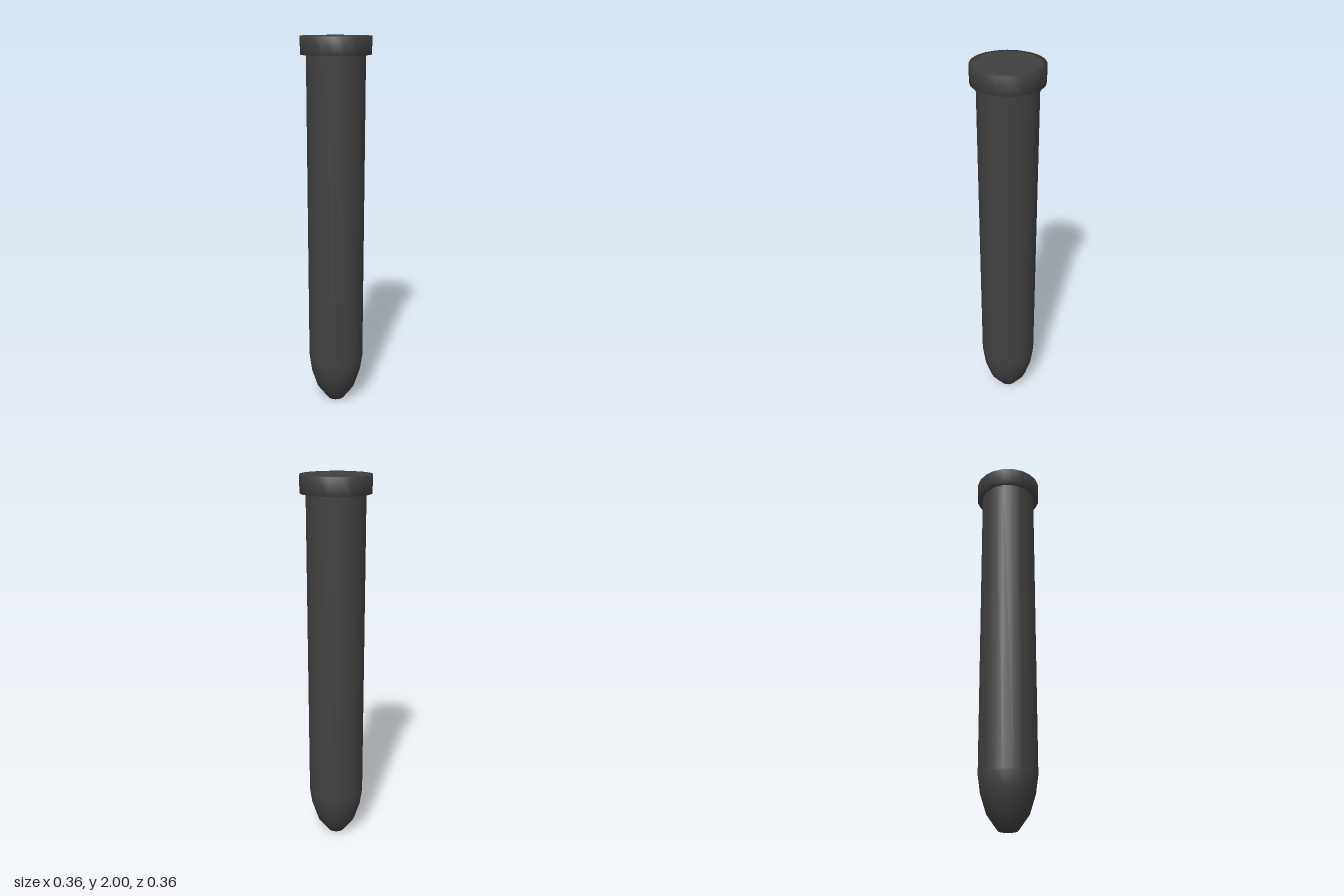
import * as THREE from 'three';

const SIDES = 20;

// Revolve a profile of [radius, height] pairs, listed from bottom to top.
function turned(name, profile, material) {
  const points = profile.map(([r, y]) => new THREE.Vector2(r, y));
  const mesh = new THREE.Mesh(new THREE.LatheGeometry(points, SIDES), material);
  mesh.name = name;
  return mesh;
}

export function createModel() {
  const group = new THREE.Group();
  group.name = 'pin';
  const dark = new THREE.MeshStandardMaterial({ color: 0x404040 });

  // Long shaft with a rounded taper down to a small blunt tip
  group.add(turned('shaft', [
    [0, 0], [0.048, 0], [0.106, 0.08], [0.138, 0.18], [0.15, 0.265], [0.15, 1.91],
  ], dark));

  // Wider flat head with a softly shaded rim
  group.add(turned('head', [
    [0.148, 1.91], [0.18, 1.91], [0.18, 2], [0.155, 2], [0, 2],
  ], dark));

  return group;
}
